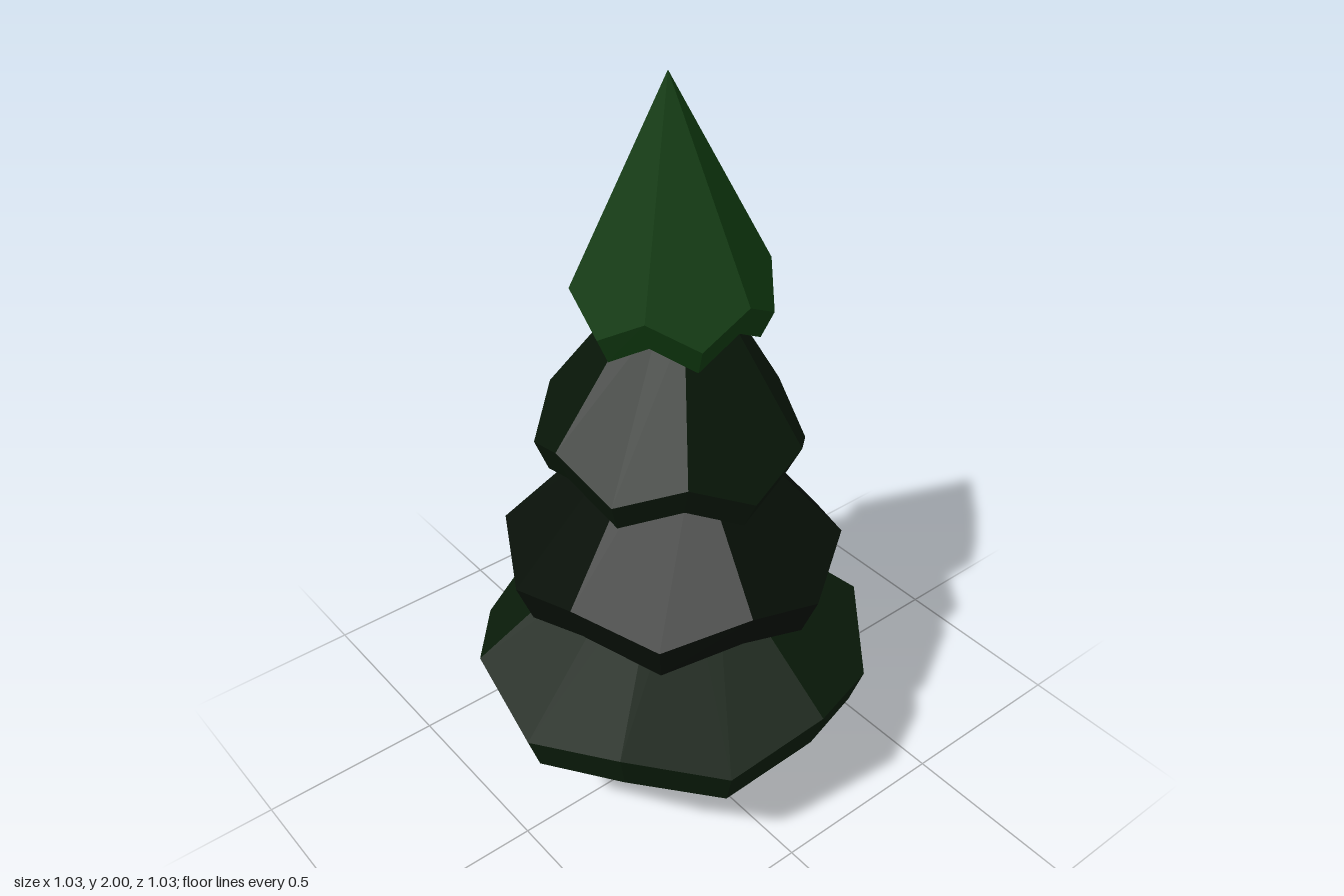
import * as THREE from 'three';

const rad = THREE.MathUtils.degToRad;

// Thick six-sided pyramid shell trimmed to a 12-sided outline, which makes the rim zigzag.
// Its top is cut off to a hexagonal hole where the trunk passes through.
// Heights are measured from the rim's upper peaks.
function tierGeometry({ r, top, innerR, innerTop, innerRim, turn, hole }) {
  const ring = (radius, height) => Array.from({ length: 12 }, (_, i) => {
    const a = rad(turn + i * 30);
    const [d, y] = height(radius, i % 2 ? Math.cos(Math.PI / 6) : 1);
    return new THREE.Vector3(d * Math.cos(a), y, d * Math.sin(a));
  });
  const rim = (apex, base) => (d, c) => [d, apex - (apex - base) / c];
  const cut = (apex, base, full) => (d, c) => [d * c, apex - (apex - base) * d / full];
  const loops = [
    ring(hole, cut(top, 0, r)),                         // upper opening
    ring(r, rim(top, 0)),                               // rim, upper edge
    ring(innerR, rim(innerTop, innerRim)),              // rim, lower edge
    ring(hole, cut(innerTop, innerRim, innerR)),        // lower opening
  ];
  const points = [];
  const face = (a, b, c) => {
    if (new THREE.Triangle(a, b, c).getArea() > 1e-8) points.push(a, b, c);
  };
  loops.forEach((from, n) => {
    const to = loops[(n + 1) % loops.length];
    for (let i = 0; i < 12; i++) {
      const j = (i + 1) % 12;
      face(from[i], from[j], to[j]);
      face(from[i], to[j], to[i]);
    }
  });
  const geometry = new THREE.BufferGeometry().setFromPoints(points);
  geometry.computeVertexNormals();
  return geometry;
}

export function createModel() {
  const tree = new THREE.Group();
  tree.name = 'pineTree';

  const add = (name, geometry, color) => {
    const mesh = new THREE.Mesh(geometry, new THREE.MeshStandardMaterial({ color, flatShading: true }));
    mesh.name = name;
    tree.add(mesh);
    return mesh;
  };

  // Six-sided trunk running up inside the branches
  const trunk = add('trunk', new THREE.CylinderGeometry(0.092, 0.098, 1.48, 6), 0x4a280a);
  trunk.rotation.y = Math.PI / 6;
  trunk.position.set(-0.006, 0.74, 0);

  // Branch tiers, bottom to top
  const tiers = [
    { name: 'bottomBranches', color: 0x0a1c0a, y: 0.467, r: 0.519, top: 0.455, hole: 0.15,
      innerR: 0.485, innerTop: 0.303, innerRim: -0.107, turn: 23, tilt: [0, 0], x: 0, z: 0 },
    { name: 'lowerMiddleBranches', color: 0x070f07, y: 0.8, r: 0.428, top: 0.44, hole: 0.125,
      innerR: 0.387, innerTop: 0.338, innerRim: -0.102, turn: 43, tilt: [-0.025, -0.025], x: 0, z: 0 },
    { name: 'upperMiddleBranches', color: 0x081608, y: 1.135, r: 0.333, top: 0.48, hole: 0.12,
      innerR: 0.297, innerTop: 0.36, innerRim: -0.083, turn: 3, tilt: [0, -0.06], x: 0, z: 0 },
    { name: 'topBranches', color: 0x103a10, y: 1.525, r: 0.238, top: 0.475, hole: 0,
      innerR: 0.207, innerTop: 0.353, innerRim: -0.077, turn: 23, tilt: [0, 0.02], x: -0.009, z: 0.008 },
  ];
  for (const t of tiers) {
    const tier = add(t.name, tierGeometry(t), t.color);
    tier.position.set(t.x, t.y, t.z);
    tier.rotation.set(t.tilt[0], 0, t.tilt[1]);
  }
  return tree;
}
